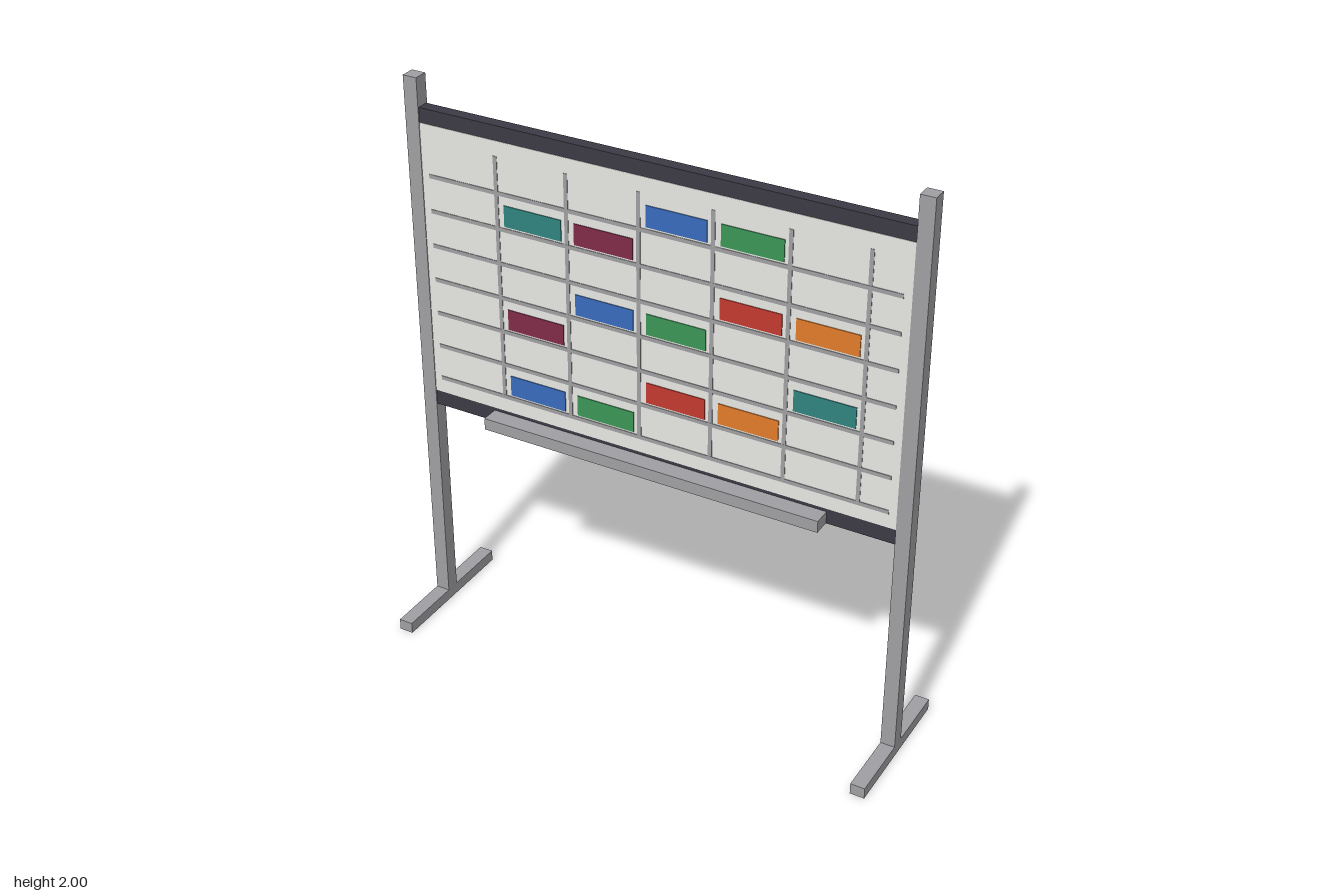
import * as THREE from 'three';

const mat = (name, color) => {
  const m = new THREE.MeshStandardMaterial({ color });
  m.name = name;
  return m;
};

export function createModel() {
  const group = new THREE.Group();
  group.name = 'planningBoard';

  const metal = mat('grey metal', 0xa0a0a4);
  const dark = mat('dark frame', 0x3c3b46);
  const white = mat('board white', 0xeaeae6);
  const cardMats = {
    blue: mat('card blue', 0x3a6bbd),
    green: mat('card green', 0x3c9657),
    teal: mat('card teal', 0x30837e),
    maroon: mat('card maroon', 0x802c48),
    red: mat('card red', 0xc43a30),
    orange: mat('card orange', 0xe27c2c),
  };

  // Box given by its centre and size
  const box = (name, material, [x, y, z], [w, h, d]) => {
    const mesh = new THREE.Mesh(new THREE.BoxGeometry(w, h, d), material);
    mesh.name = name;
    mesh.position.set(x, y, z);
    group.add(mesh);
  };

  // Posts standing on feet
  for (const [side, s] of [['left', 1], ['right', -1]]) {
    box(`${side}Post`, metal, [s * 0.872, 1.02, 0], [0.05, 1.96, 0.05]);
    box(`${side}Foot`, metal, [s * 0.872, 0.02, 0], [0.05, 0.04, 0.51]);
  }

  // Board: dark backing with a white writing surface, and a pen tray
  box('boardBacking', dark, [0, 1.36, 0], [1.696, 1.08, 0.042]);
  box('writingSurface', white, [0, 1.362, 0.0205], [1.696, 0.975, 0.004]);
  box('penTray', metal, [0, 0.842, 0.052], [1.226, 0.042, 0.062]);

  // Timetable grid
  const rows = 7, cols = 6, rowStep = 0.1235, colStep = 0.2565;
  const topRow = 1.672, firstCol = -0.567;
  for (let r = 0; r < rows; r++)
    box('rowLine', metal, [0, topRow - r * rowStep, 0.023], [1.64, 0.014, 0.003]);
  for (let c = 0; c < cols; c++)
    box('columnLine', metal, [firstCol + c * colStep, 1.362, 0.0228], [0.014, 0.87, 0.003]);

  // Cards: row, column, colour
  const cards = [
    [0, 2, 'blue'], [0, 3, 'green'],
    [1, 0, 'teal'], [1, 1, 'maroon'],
    [2, 3, 'red'], [2, 4, 'orange'],
    [3, 1, 'blue'], [3, 2, 'green'],
    [4, 0, 'maroon'], [4, 4, 'teal'],
    [5, 2, 'red'], [5, 3, 'orange'],
    [6, 0, 'blue'], [6, 1, 'green'],
  ];
  for (const [r, c, colour] of cards)
    box(`${colour}Card`, cardMats[colour],
      [firstCol + 0.132 + c * colStep, topRow + 0.05 - r * rowStep, 0.0235], [0.21, 0.073, 0.004]);

  return group;
}
